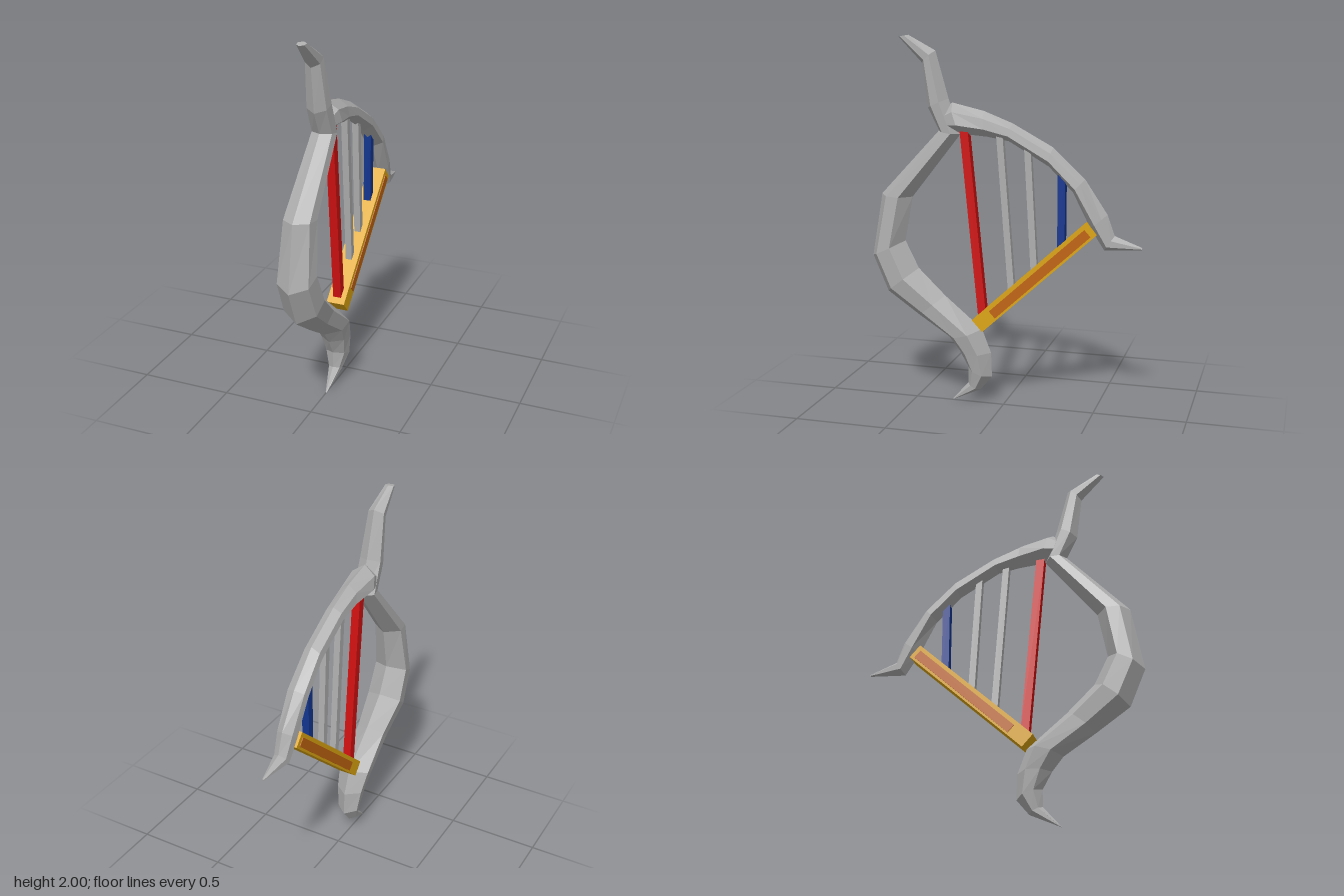
import * as THREE from 'three';

const mat = (name, color) => {
  const m = new THREE.MeshStandardMaterial({ color });
  m.name = name;
  m.flatShading = true;
  return m;
};

// Six-sided ring: [fraction from outer to inner edge, share of half width]
const RING = [[0, 0], [0.27, 0.88], [0.68, 1], [1, 0], [0.68, -1], [0.27, -0.88]];

// Sweep through sections [outerZ, outerY, innerZ, innerY, halfWidth]
function sweep(name, sections, material) {
  const n = RING.length;
  const pos = [], idx = [];
  for (const [oz, oy, iz, iy, w] of sections) {
    for (const [f, x] of RING) pos.push(x * w, oy + (iy - oy) * f, oz + (iz - oz) * f);
  }
  for (let s = 0; s < sections.length - 1; s++) {
    for (let i = 0; i < n; i++) {
      const a = s * n + i, b = s * n + (i + 1) % n;
      idx.push(a, b, b + n, a, b + n, a + n);
    }
  }
  const last = (sections.length - 1) * n;
  for (let i = 1; i < n - 1; i++) {
    idx.push(0, i + 1, i, last, last + i, last + i + 1);
  }
  const indexed = new THREE.BufferGeometry();
  indexed.setAttribute('position', new THREE.Float32BufferAttribute(pos, 3));
  indexed.setIndex(idx);
  const geo = indexed.toNonIndexed();
  geo.computeVertexNormals();
  const mesh = new THREE.Mesh(geo, material);
  mesh.name = name;
  return mesh;
}

// Straight bar in the x = 0 plane between two [z, y] points
function bar(name, [z0, y0], [z1, y1], width, thick, material, x = 0) {
  const dz = z1 - z0, dy = y1 - y0;
  const mesh = new THREE.Mesh(new THREE.BoxGeometry(width, Math.hypot(dz, dy), thick), material);
  mesh.position.set(x, (y0 + y1) / 2, (z0 + z1) / 2);
  mesh.rotation.x = Math.atan2(dz, dy);
  mesh.name = name;
  return mesh;
}

export function createModel() {
  const grey = mat('frame grey', 0xaeaeae);
  const red = mat('string red', 0xd01010);
  const blue = mat('string blue', 0x12358f);
  const gold = mat('soundboard gold', 0xdca510);
  const orange = mat('panel orange', 0xc0650f);
  const harp = new THREE.Group();
  harp.name = 'harp';

  // Column: pointed tail foot, bowed belly, then the raised horn
  harp.add(sweep('column', [
    [0.295, 0.0, 0.285, 0.005, 0.004],
    [0.2, 0.11, 0.13, 0.075, 0.035],
    [0.2, 0.2, 0.065, 0.155, 0.06],
    [0.25, 0.29, 0.07, 0.29, 0.075],
    [0.31, 0.365, 0.12, 0.42, 0.09],
    [0.48, 0.475, 0.33, 0.595, 0.083],
    [0.66, 0.6, 0.48, 0.74, 0.102],
    [0.745, 0.8, 0.555, 0.89, 0.097],
    [0.685, 1.146, 0.51, 1.135, 0.08],
    [0.355, 1.5, 0.235, 1.485, 0.062],
    [0.415, 1.62, 0.3, 1.67, 0.06],
    [0.445, 1.855, 0.37, 1.92, 0.045],
    [0.575, 1.99, 0.52, 2.0, 0.024],
  ], grey));

  // Neck: arched top rail ending in a pointed tip
  harp.add(sweep('neck', [
    [0.37, 1.58, 0.32, 1.51, 0.05],
    [0.28, 1.65, 0.22, 1.485, 0.075],
    [0.105, 1.61, 0.09, 1.475, 0.055],
    [-0.05, 1.55, -0.03, 1.455, 0.05],
    [-0.27, 1.43, -0.245, 1.33, 0.05],
    [-0.44, 1.27, -0.375, 1.2, 0.055],
    [-0.56, 1.09, -0.47, 1.015, 0.05],
    [-0.6, 0.98, -0.545, 0.9, 0.04],
    [-0.745, 0.925, -0.742, 0.913, 0.006],
  ], grey));

  // Soundboard with a coloured panel on each side
  harp.add(bar('soundboard', [0.135, 0.45], [-0.48, 1.015], 0.1, 0.085, gold));
  for (const side of [-1, 1]) {
    harp.add(bar('soundboardPanel', [0.05, 0.52], [-0.465, 0.995], 0.006, 0.05, orange, side * 0.051));
  }

  // Strings from the neck down to the soundboard
  harp.add(bar('redString', [0.212, 1.51], [0.113, 0.49], 0.045, 0.045, red));
  harp.add(bar('longString', [0.018, 1.49], [-0.048, 0.64], 0.035, 0.035, grey));
  harp.add(bar('shortString', [-0.134, 1.42], [-0.172, 0.76], 0.035, 0.035, grey));
  harp.add(bar('blueString', [-0.318, 1.31], [-0.318, 0.89], 0.04, 0.04, blue));

  return harp;
}
